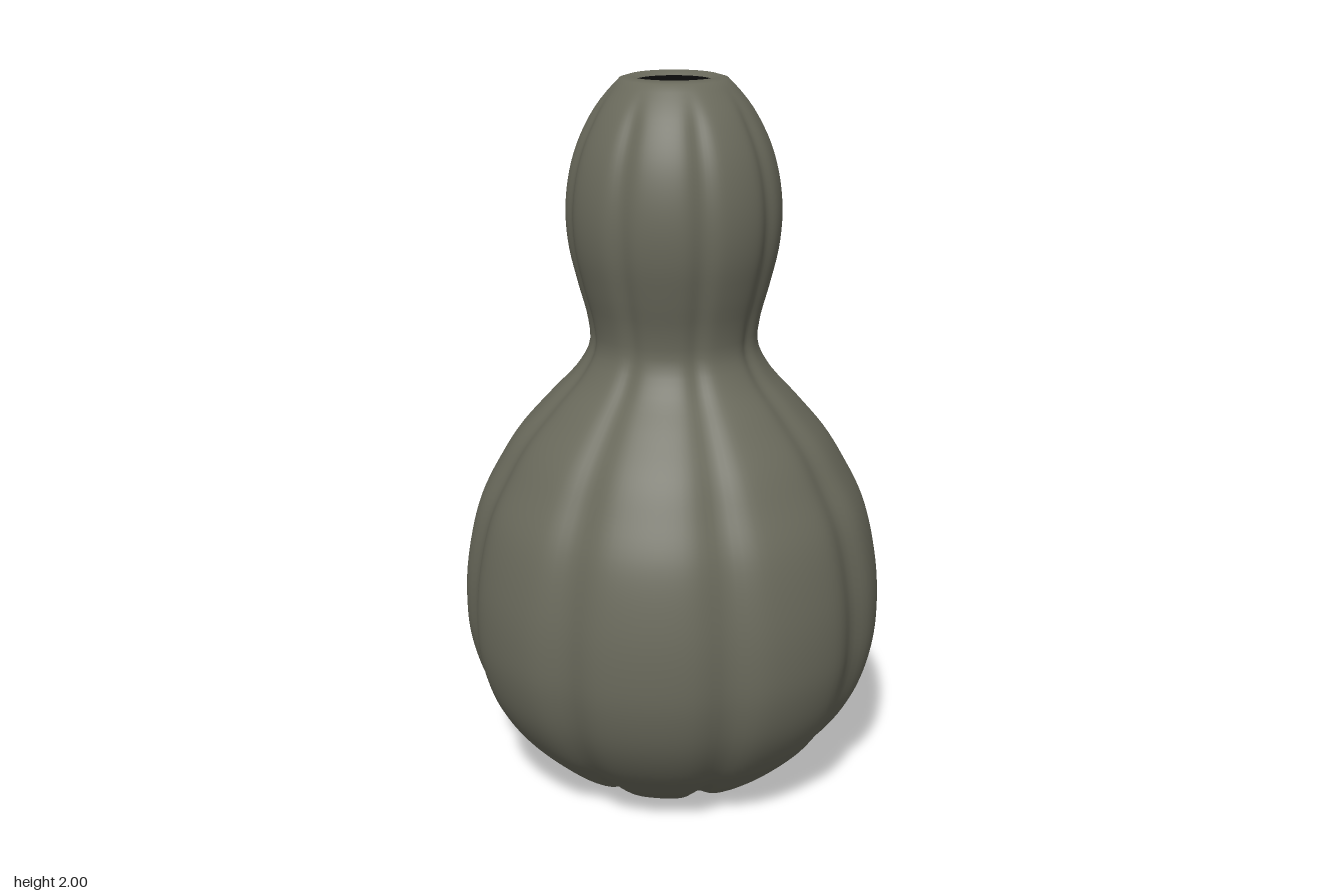
import * as THREE from 'three';
import { mergeVertices } from 'three/addons/utils/BufferGeometryUtils.js';

const LOBES = 8;

export function createModel() {
  const group = new THREE.Group();
  group.name = 'gourdVase';

  const olive = new THREE.MeshStandardMaterial({ color: 0x6a6a5c });
  olive.name = 'olive grey glaze';
  const black = new THREE.MeshStandardMaterial({ color: 0x0a0a0a });
  black.name = 'black opening';

  // Lobe radius and height, from the middle of the underside up to the lip
  const profile = [
    [0, 0.035], [0.1, 0.025], [0.19, 0.004], [0.255, 0.004], [0.315, 0.035], [0.395, 0.1],
    [0.48, 0.19], [0.545, 0.3], [0.58, 0.42], [0.588, 0.53], [0.578, 0.66], [0.54, 0.82],
    [0.48, 0.94], [0.43, 1.02], [0.345, 1.12], [0.265, 1.21], [0.23, 1.28], [0.234, 1.35],
    [0.26, 1.45], [0.283, 1.55], [0.29, 1.64], [0.282, 1.73], [0.258, 1.82], [0.213, 1.91],
    [0.17, 1.965], [0.132, 2], [0.112, 1.998], [0.1, 1.985],
  ].map(([r, y]) => new THREE.Vector3(r, y, 0));
  const curve = new THREE.CatmullRomCurve3(profile, false, 'centripetal');
  const points = curve.getSpacedPoints(100)
    .map((p) => new THREE.Vector2(Math.max(p.x, 0), Math.min(p.y, 2)));

  // Body: a lathe pressed in along eight grooves, its neck slightly off centre
  let body = new THREE.LatheGeometry(points, 144);
  const pos = body.attributes.position;
  const step = (Math.PI * 2) / LOBES;
  for (let i = 0; i < pos.count; i++) {
    const x = pos.getX(i), y = pos.getY(i), z = pos.getZ(i);
    const a = Math.atan2(z, x);
    const d = a - Math.round(a / step) * step;
    const groove = Math.exp(-((d / 0.11) ** 2));
    const fade = 1 - THREE.MathUtils.smoothstep(y, 1.88, 1.99);
    const k = 1 - 0.042 * groove * fade;
    const lean = THREE.MathUtils.smoothstep(y, 0.9, 1.35);
    const r = Math.hypot(x, z);
    const foot = (1 - THREE.MathUtils.smoothstep(y, 0.03, 0.15)) * Math.min(r / 0.25, 1);
    pos.setXYZ(i, x * k + 0.013 * lean, y + 0.014 * groove * foot, z * k + 0.011 * lean);
  }
  // Weld the seam so the normals run smoothly around
  body.deleteAttribute('normal');
  body.deleteAttribute('uv');
  body = mergeVertices(body, 1e-5);
  body.computeVertexNormals();
  body.computeBoundingBox();
  body.translate(0, -body.boundingBox.min.y, 0);
  const bodyMesh = new THREE.Mesh(body, olive);
  bodyMesh.name = 'lobedBody';
  group.add(bodyMesh);

  // Dark mouth just inside the lip
  const mouth = new THREE.Mesh(new THREE.CircleGeometry(0.102, 48), black);
  mouth.name = 'mouthOpening';
  mouth.rotation.x = -Math.PI / 2;
  mouth.position.set(0.013, 1.986, 0.011);
  group.add(mouth);

  return group;
}
